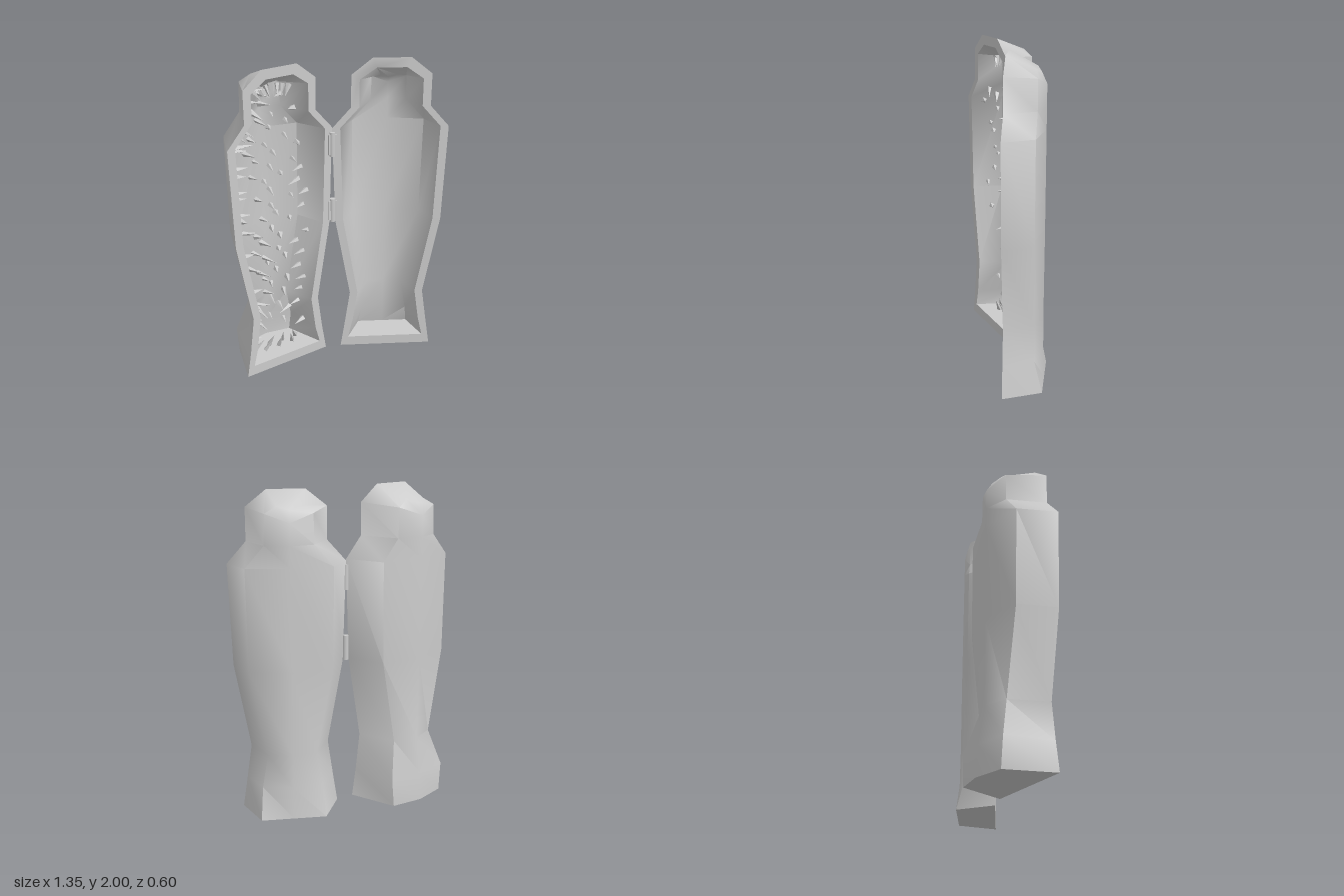
import * as THREE from 'three';
import { toCreasedNormals } from 'three/addons/utils/BufferGeometryUtils.js';

const material = new THREE.MeshStandardMaterial({ color: 0xcccccc });

// Stations from foot to crown:
// rim height, rim half width, corner height, corner half width, corner depth, ridge height, ridge depth
const stations = (ankle, heelRidge) => [
  [0, 0.3, 0, 0.2, 0.23, 0, heelRidge],
  ankle,
  [0.41, 0.24, 0.41, 0.15, 0.18, 0.41, 0.22],
  [0.94, 0.335, 0.94, 0.25, 0.18, 0.94, 0.222],
  [1.56, 0.355, 1.56, 0.258, 0.18, 1.56, 0.222],
  [1.69, 0.24, 1.69, 0.145, 0.18, 1.69, 0.222],
  [1.89, 0.24, 1.87, 0.14, 0.18, 1.82, 0.222],
  [1.99, 0.115, 1.91, 0.07, 0.165, 1.89, 0.19],
];

// Five-point open section, running from one rim round the back to the other
function sections(table, depthScale, inset) {
  const last = table.length - 1;
  return table.map(([yr, w, yc, h, dc, ym, dm], i) => {
    const lift = !inset ? 0 : i === 0 ? 0.065 : i === last ? -0.06 : i === last - 1 ? -0.03 : 0;
    const side = i === last ? inset * 0.5 : inset;
    const c = dc * depthScale - inset * 0.8, m = dm * depthScale - inset * 0.8;
    return [
      [-(w - side), yr + lift, 0], [-(h - side * 0.7), yc + lift, -c], [0, ym + lift, -m],
      [h - side * 0.7, yc + lift, -c], [w - side, yr + lift, 0],
    ].map((p) => new THREE.Vector3(...p));
  });
}

// Hollow half shell: outer skin, inner skin, end caps and rim
function shellGeometry(outer, inner) {
  const n = outer.length, index = [];
  const O = (i, j) => i * 5 + j, I = (i, j) => (n + i) * 5 + j;
  const quad = (a, b, c, d) => index.push(a, b, c, a, c, d);
  for (let i = 0; i < n - 1; i++) {
    for (let j = 0; j < 4; j++) {
      quad(O(i, j), O(i + 1, j), O(i + 1, j + 1), O(i, j + 1));
      quad(I(i, j), I(i, j + 1), I(i + 1, j + 1), I(i + 1, j));
    }
    quad(O(i, 0), I(i, 0), I(i + 1, 0), O(i + 1, 0));
    quad(I(i, 4), O(i, 4), O(i + 1, 4), I(i + 1, 4));
  }
  const t = n - 1;
  quad(O(0, 0), O(0, 4), I(0, 4), I(0, 0));
  quad(I(t, 0), I(t, 4), O(t, 4), O(t, 0));
  for (let j = 1; j < 4; j++) {
    index.push(O(0, 0), O(0, j), O(0, j + 1), O(t, 0), O(t, j + 1), O(t, j));
    index.push(I(0, 0), I(0, j + 1), I(0, j), I(t, 0), I(t, j), I(t, j + 1));
  }
  const g = new THREE.BufferGeometry().setFromPoints([...outer.flat(), ...inner.flat()]);
  g.setIndex(index);
  return toCreasedNormals(g, 0.98);
}

function makeShell(name, table, depthScale) {
  const inner = sections(table, depthScale, 0.05);
  const mesh = new THREE.Mesh(shellGeometry(sections(table, depthScale, 0), inner), material);
  mesh.name = name;
  return { mesh, inner };
}

function seeded(seed) {
  return () => (seed = (seed * 16807) % 2147483647) / 2147483647;
}

// Four-sided spikes standing on the inner skin
function makeSpikes(inner) {
  const group = new THREE.Group();
  group.name = 'spikes';
  const rnd = seeded(4711), up = new THREE.Vector3(0, 1, 0);
  const cone = new THREE.ConeGeometry(1, 1, 4).toNonIndexed();
  cone.translate(0, 0.45, 0);
  cone.computeVertexNormals();
  const add = (p, dir, length) => {
    const spike = new THREE.Mesh(cone, material);
    spike.name = 'spike';
    const r = 0.014 + rnd() * 0.008;
    spike.scale.set(r, length, r);
    spike.position.copy(p);
    spike.quaternion.setFromUnitVectors(up, dir.normalize());
    group.add(spike);
  };
  // walls and back
  const count = 88;
  for (let k = 0; k < count; k++) {
    const y = 0.14 + ((k + rnd()) / count) * 1.72;
    let i = 0;
    while (i < inner.length - 2 && inner[i + 1][2].y < y) i++;
    const f = THREE.MathUtils.clamp((y - inner[i][2].y) / (inner[i + 1][2].y - inner[i][2].y), 0, 1);
    const s = 0.4 + ((k * 0.618 + rnd() * 0.15) % 1) * 3.2;
    const j = Math.min(3, Math.floor(s));
    const row = (q) => inner[q][j].clone().lerp(inner[q][j + 1], s - j);
    const p = row(i).lerp(row(i + 1), f);
    const across = inner[i][j + 1].clone().sub(inner[i][j]);
    const dir = across.cross(row(i + 1).sub(row(i))).normalize();
    dir.y += (rnd() - 0.5) * 0.25;
    add(p, dir, 0.06 + rnd() * 0.06);
  }
  // floor and crown
  for (let k = 0; k < 7; k++) {
    const x = (k - 3) / 3;
    add(new THREE.Vector3(x * 0.15, 0.075, -0.15 + 0.04 * (k % 2)), new THREE.Vector3(-x * 0.6, 1, 0.5), 0.1);
    add(new THREE.Vector3(x * 0.12, 1.87 - Math.abs(x) * 0.03, -0.1), new THREE.Vector3(-x * 0.7, -1, 0.4), 0.08);
  }
  return group;
}

export function createModel() {
  const model = new THREE.Group();
  model.name = 'spikedCabinet';

  // Plain half, opening to the front
  const plain = makeShell('plainShell', stations([0.2, 0.27, 0.2, 0.185, 0.18, 0.2, 0.222], 0.23), 1);
  plain.mesh.position.set(0.325, 0, -0.07);
  model.add(plain.mesh);

  // Deeper spiked half, swung about the hinge line
  const swung = new THREE.Group();
  swung.name = 'spikedHalf';
  swung.position.set(-0.03, 0.01, -0.07);
  swung.rotation.y = 0.541;
  const spiked = makeShell('spikedShell', stations([0.18, 0.27, 0.18, 0.215, 0.228, 0.18, 0.25], 0.258), 1.27);
  const spikes = makeSpikes(spiked.inner);
  spiked.mesh.position.x = spikes.position.x = -0.355;
  swung.add(spiked.mesh, spikes);
  model.add(swung);

  // Hinges: knuckle and two small leaves
  for (const y of [1.46, 1.02]) {
    const hinge = new THREE.Group();
    hinge.name = 'hinge';
    hinge.position.set(-0.028, y, -0.068);
    const knuckle = new THREE.Mesh(new THREE.CylinderGeometry(0.018, 0.018, 0.155, 10), material);
    knuckle.name = 'hingeKnuckle';
    hinge.add(knuckle);
    for (const [side, angle] of [[1, 0], [-1, 0.541]]) {
      const leaf = new THREE.Mesh(new THREE.BoxGeometry(0.03, 0.13, 0.01), material);
      leaf.name = 'hingeLeaf';
      leaf.position.set(side * 0.012, 0, side < 0 ? 0.007 : 0);
      leaf.rotation.y = angle;
      hinge.add(leaf);
    }
    model.add(hinge);
  }
  return model;
}
